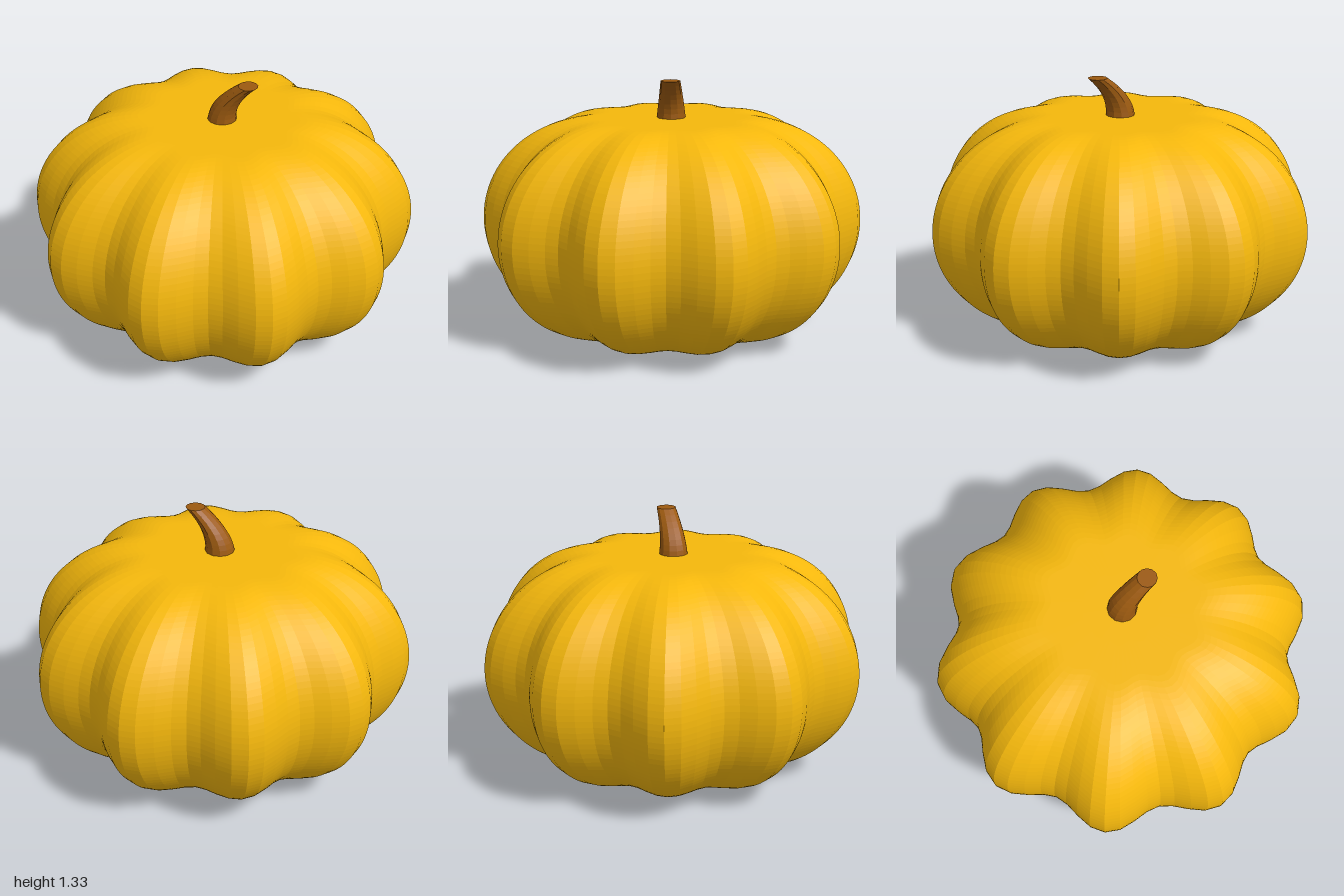
import * as THREE from 'three';

const HEIGHT = 1.12;   // body height, also where the stem starts
const LOBES = 10;

// Ribbed body: flat-topped round profile, lathed, then pushed in and out by angle
function createBody() {
  const half = HEIGHT / 2, flat = 0.4, rows = 56;
  const profile = [new THREE.Vector2(0, 0), new THREE.Vector2(flat / 2, 0)];
  for (let i = 0; i <= rows; i++) {
    const a = -Math.PI / 2 + (Math.PI * i) / rows;
    profile.push(new THREE.Vector2(flat + (1 - flat) * Math.cos(a), half + half * Math.sin(a)));
  }
  profile.push(new THREE.Vector2(flat / 2, HEIGHT), new THREE.Vector2(0, HEIGHT));

  const geometry = new THREE.LatheGeometry(profile, LOBES * 8);
  const p = geometry.attributes.position;
  for (let i = 0; i < p.count; i++) {
    const angle = Math.atan2(p.getX(i), p.getZ(i));
    const s = 0.94 + 0.06 * Math.cos(LOBES * angle);
    p.setX(i, p.getX(i) * s);
    p.setZ(i, p.getZ(i) * s);
  }
  geometry.computeVertexNormals();
  const body = new THREE.Mesh(geometry, new THREE.MeshStandardMaterial({ color: 0xf5b80c, flatShading: true }));
  body.name = 'pumpkinBody';
  return body;
}

// Tapered stem with level ends, bending towards +x
function createStem() {
  const height = 0.21;
  const geometry = new THREE.CylinderGeometry(0.05, 0.075, height, 12, 8);
  geometry.translate(0, height / 2, 0);
  const p = geometry.attributes.position;
  for (let i = 0; i < p.count; i++) {
    const t = p.getY(i) / height;
    p.setX(i, p.getX(i) + 0.14 * t * t);
  }
  geometry.computeVertexNormals();
  const stem = new THREE.Mesh(geometry, new THREE.MeshStandardMaterial({ color: 0x9c5a10, flatShading: true }));
  stem.name = 'stem';
  stem.position.y = HEIGHT;
  return stem;
}

export function createModel() {
  const group = new THREE.Group();
  group.name = 'pumpkin';
  group.add(createBody(), createStem());
  return group;
}
